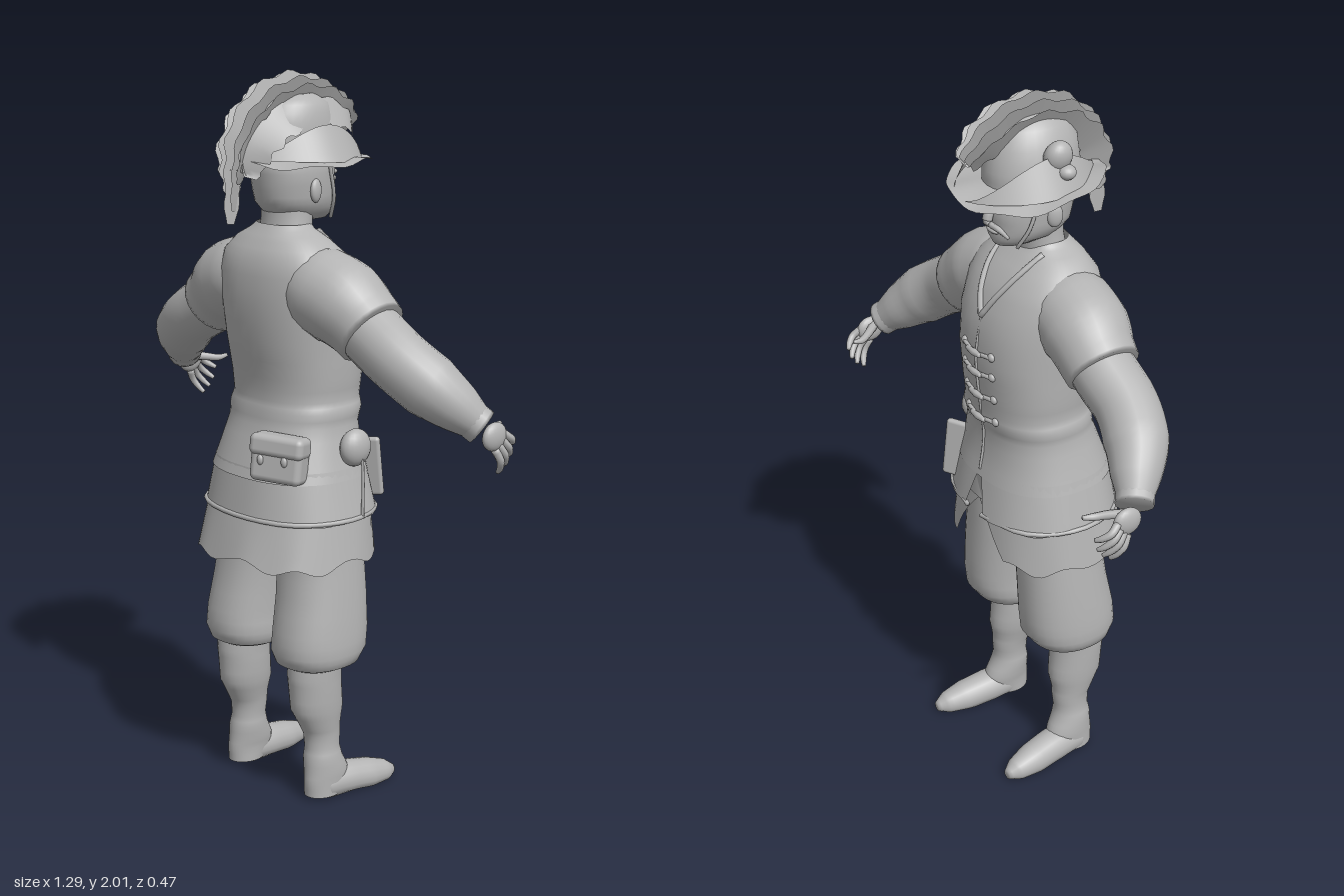
import * as THREE from 'three';
import { mergeVertices } from 'three/addons/utils/BufferGeometryUtils.js';
import { RoundedBoxGeometry } from 'three/addons/geometries/RoundedBoxGeometry.js';

const { lerp } = THREE.MathUtils;
const clayGrey = new THREE.MeshStandardMaterial({ color: 0xb4b4b4, side: THREE.DoubleSide });
clayGrey.name = 'clayGrey';

// Grid surface from a rule f(u, v) -> [x, y, z]
function surface(f, nu, nv) {
  const pos = [], idx = [];
  for (let j = 0; j <= nv; j++) for (let i = 0; i <= nu; i++) pos.push(...f(i / nu, j / nv));
  for (let j = 0; j < nv; j++) for (let i = 0; i < nu; i++) {
    const a = j * (nu + 1) + i, c = a + nu + 1;
    idx.push(a, a + 1, c + 1, a, c + 1, c);
  }
  let g = new THREE.BufferGeometry();
  g.setAttribute('position', new THREE.Float32BufferAttribute(pos, 3));
  g.setIndex(idx);
  g = mergeVertices(g, 1e-5);
  g.computeVertexNormals();
  return g;
}

// Interpolate a list of number rows at t in 0..1
function rowAt(rows, t) {
  const f = t * (rows.length - 1), i = Math.min(Math.floor(f), rows.length - 2);
  return rows[i].map((v, k) => lerp(v, rows[i + 1][k], f - i));
}
const bend = (v, p) => Math.sign(v) * Math.abs(v) ** p;

// Horizontal cross-sections, rows are [y, centreX, halfWidth, zFront, zBack]
function ringPoint([y, cx, rx, zf, zb], a, p = 1) {
  return [cx + rx * bend(Math.sin(a), p), y, (zf + zb) / 2 + (zb - zf) / 2 * bend(Math.cos(a), p)];
}
function loft(rows, p = 1, nu = 32) {
  return surface((u, v) => ringPoint(rowAt(rows, v), u * Math.PI * 2, p), nu, (rows.length - 1) * 2);
}

// Tapered tube, points are [x, y, z, radius]; never dips below the ground
function tube(pts, nu = 12, ref = [0, 0, 1]) {
  const curve = new THREE.CatmullRomCurve3(pts.map(p => new THREE.Vector3(...p)));
  const R = new THREE.Vector3(...ref), n = (pts.length - 1) * 4;
  return surface((u, v) => {
    const j = Math.round(v * (n + 2)), t = THREE.MathUtils.clamp((j - 1) / n, 0, 1);
    const c = curve.getPoint(t), T = curve.getTangent(t);
    const N = R.clone().cross(T).normalize(), B = T.clone().cross(N);
    const r = j === 0 || j === n + 2 ? 0 : rowAt(pts, t)[3], a = u * Math.PI * 2;
    c.addScaledVector(N, r * Math.cos(a)).addScaledVector(B, r * Math.sin(a));
    return [c.x, Math.max(c.y, 0), c.z];
  }, nu, n + 2);
}

const TORSO = [
  [0.93, 0, 0.225, -0.18, 0.19], [1.0, 0, 0.205, -0.165, 0.165], [1.07, 0, 0.188, -0.16, 0.14],
  [1.11, 0, 0.192, -0.17, 0.135], [1.14, 0, 0.18, -0.17, 0.128], [1.2, 0, 0.187, -0.175, 0.132],
  [1.3, 0, 0.192, -0.183, 0.152], [1.4, 0, 0.2, -0.172, 0.162], [1.48, 0, 0.205, -0.14, 0.158],
  [1.53, 0, 0.19, -0.105, 0.145], [1.57, 0, 0.145, -0.065, 0.12], [1.595, 0, 0.095, -0.04, 0.1],
  [1.61, 0, 0.078, -0.035, 0.088],
];
// Depth of the tunic front at (x, y)
function chestZ(x, y) {
  let i = 0;
  while (i < TORSO.length - 2 && TORSO[i + 1][0] < y) i++;
  const a = TORSO[i], b = TORSO[i + 1], k = (y - a[0]) / (b[0] - a[0]);
  const [rx, zf, zb] = [2, 3, 4].map(m => lerp(a[m], b[m], k));
  const s = Math.min(1, Math.abs(x) / rx) ** (1 / 0.85);
  return (zf + zb) / 2 - (zb - zf) / 2 * Math.sqrt(1 - s * s) ** 0.85;
}

// Cloth hanging round the hips with a slit at the front
function hangingCloth(top, hem, slit, ragged) {
  return surface((u, v) => {
    const a = (u * 2 - 1) * (Math.PI - slit * (1 - v));
    const p = ringPoint(rowAt([hem, top], v), a, 0.85);
    p[1] += (1 - v) * ragged * (Math.sin(a * 9) + 0.6 * Math.sin(a * 4 + 1));
    return p;
  }, 72, 5);
}

// Flat feather following a curve in the y-z plane, points are [x, y, z]
function feather(pts, width, tilt) {
  const curve = new THREE.CatmullRomCurve3(pts.map(p => new THREE.Vector3(...p)));
  return surface((u, v) => {
    const c = curve.getPoint(v), T = curve.getTangent(v);
    const w = (u - 0.5) * width * Math.sin(Math.PI * (0.08 + 0.88 * v)) ** 0.5 * (1 + 0.18 * Math.sin(v * 55));
    return [c.x + w * tilt, c.y - T.z * w, c.z + T.y * w];
  }, 4, 40);
}

export function createModel() {
  const model = new THREE.Group();
  model.name = 'hattedFigure';
  const add = (name, geo, pos = [0, 0, 0], rot = [0, 0, 0], scale = [1, 1, 1]) => {
    const m = new THREE.Mesh(geo, clayGrey);
    m.name = name;
    m.position.set(...pos); m.rotation.set(...rot); m.scale.set(...scale);
    model.add(m);
    return m;
  };
  const ball = new THREE.SphereGeometry(1, 20, 14);

  // Tunic, its flared skirt and the shirt tail below
  add('tunicBody', loft(TORSO, 0.85, 48));
  add('tunicSkirt', hangingCloth([0.96, 0, 0.217, -0.173, 0.18], [0.82, 0, 0.25, -0.2, 0.203], 0.13, 0.003));
  add('tunicHem', tube([-0.97, -0.75, -0.5, -0.25, 0, 0.25, 0.5, 0.75, 0.97].map(k =>
    [...ringPoint([0.825, 0, 0.25, -0.198, 0.203], k * Math.PI, 0.85), 0.007]), 8, [0, 1, 0]));
  add('shirtTail', hangingCloth([0.86, 0, 0.235, -0.18, 0.19], [0.7, 0, 0.258, -0.195, 0.235], 0.4, 0.011));
  add('hips', loft([[0.66, 0, 0.02, -0.03, 0.03], [0.7, 0, 0.2, -0.11, 0.12], [0.84, 0, 0.21, -0.13, 0.14],
    [0.94, 0, 0.2, -0.15, 0.15]], 0.85));

  // Front fastening: collar edges, seam and toggles
  for (const s of [-1, 1]) {
    const edge = [[0.082, 1.59], [0.065, 1.54], [0.035, 1.48], [0, 1.42]];
    add('collarEdge', tube(edge.map(([x, y]) => [s * x, y, chestZ(x, y) - 0.002, 0.008]), 8));
  }
  add('frontSeam', tube([1.42, 1.3, 1.15, 1.05, 0.95].map(y => [0, y, chestZ(0, y), 0.004]), 8));
  for (const y of [1.32, 1.26, 1.19, 1.12]) {
    const z = chestZ(0, y);
    add('toggleBar', tube([[-0.032, y, z - 0.009, 0.006], [0, y, z - 0.01, 0.01], [0.032, y, z - 0.009, 0.006]], 8));
    for (const s of [-1, 1]) {
      add('toggleCord', tube([[s * 0.02, y, z - 0.006, 0.006], [s * 0.06, y + 0.004, chestZ(0.06, y) - 0.003, 0.006]], 8));
      add('toggleKnot', ball, [s * 0.062, y + 0.004, chestZ(0.062, y)], [0, 0, 0], [0.012, 0.012, 0.009]);
    }
  }

  // Limbs, mirrored
  for (const s of [-1, 1]) {
    const mx = pts => pts.map(([x, ...rest]) => [s * x, ...rest]);
    add('shortSleeve', tube(mx([[0.07, 1.45, 0.02, 0.1], [0.15, 1.44, 0.02, 0.118], [0.225, 1.415, 0.012, 0.118],
      [0.28, 1.378, 0.003, 0.105], [0.318, 1.35, 0, 0.1]]), 24));
    add('longSleeve', tube(mx([[0.25, 1.39, 0, 0.085], [0.33, 1.34, 0, 0.087], [0.42, 1.29, -0.002, 0.085],
      [0.5, 1.235, -0.03, 0.085], [0.56, 1.18, -0.075, 0.066], [0.6, 1.14, -0.108, 0.045]]), 20));
    add('cuff', tube(mx([[0.588, 1.152, -0.098, 0.05], [0.607, 1.133, -0.114, 0.05]]), 16));
    add('palm', ball, [s * 0.621, 1.105, -0.147], [0.2, 0, 0], [0.019, 0.038, 0.042]);
    for (let i = 0; i < 4; i++) {
      const o = (i - 1.5) * 0.017, len = [0.9, 1, 1, 0.85][i], fan = 1 + 0.5 * len;
      const P = (x, k, r) => [x, 1.09 - k * 0.055 * len + o * 0.8 * (1 + fan * k * 0.4),
        -0.163 - k * 0.045 * len - o * 0.6 * (1 + fan * k * 0.4), r];
      add('finger', tube(mx([P(0.624, 0, 0.011), P(0.63, 0.5, 0.0105), P(0.618, 0.9, 0.009), P(0.603, 1.15, 0.006)]), 8, [1, 0, 0]));
    }
    add('thumb', tube(mx([[0.615, 1.12, -0.135, 0.014], [0.583, 1.115, -0.175, 0.012], [0.563, 1.11, -0.21, 0.01],
      [0.558, 1.115, -0.238, 0.006]]), 8, [0, 1, 0]));

    const c = s * 0.14;
    add('breeches', loft([[0.405, c, 0.05, -0.02, 0.08], [0.395, c, 0.085, -0.06, 0.125], [0.405, c, 0.106, -0.09, 0.145],
      [0.44, c, 0.116, -0.115, 0.16], [0.5, c, 0.114, -0.122, 0.155], [0.6, s * 0.133, 0.112, -0.122, 0.135],
      [0.7, s * 0.123, 0.112, -0.12, 0.122], [0.86, s * 0.115, 0.105, -0.12, 0.13]], 0.9));
    add('boot', loft([[0.01, s * 0.165, 0.045, -0.03, 0.085], [0.05, s * 0.165, 0.047, -0.06, 0.088],
      [0.08, s * 0.163, 0.05, -0.055, 0.085], [0.12, s * 0.16, 0.05, -0.035, 0.083], [0.15, s * 0.158, 0.045, -0.028, 0.077],
      [0.19, s * 0.156, 0.047, -0.032, 0.08], [0.22, s * 0.155, 0.052, -0.032, 0.095], [0.27, s * 0.152, 0.062, -0.042, 0.122],
      [0.33, s * 0.151, 0.066, -0.036, 0.126], [0.37, s * 0.151, 0.067, -0.034, 0.13], [0.43, s * 0.15, 0.07, -0.035, 0.125]]));
    add('foot', tube(mx([[0.165, 0.03, 0.06, 0.03], [0.166, 0.035, 0.03, 0.047], [0.171, 0.032, -0.05, 0.05],
      [0.18, 0.022, -0.13, 0.047], [0.187, 0.016, -0.19, 0.034], [0.19, 0.014, -0.222, 0.014]]), 18, [1, 0, 0]));
  }

  // Belt gear
  add('backPouch', new RoundedBoxGeometry(0.15, 0.12, 0.07, 3, 0.018), [0.125, 0.995, 0.152], [-0.12, 0.4, 0]);
  add('backPouchFlap', new RoundedBoxGeometry(0.158, 0.06, 0.076, 3, 0.018), [0.126, 1.035, 0.151], [-0.12, 0.4, 0]);
  for (const x of [0.1, 0.165]) add('pouchStud', ball, [x, 1.0, 0.242 - x * 0.42], [0, 0, 0], [0.01, 0.014, 0.008]);
  add('roundPouch', ball, [0.218, 1.015, -0.038], [0, 0, 0], [0.033, 0.052, 0.05]);
  add('pouchString', tube([[0.235, 1.05, -0.04, 0.005], [0.245, 0.95, -0.042, 0.004], [0.247, 0.82, -0.04, 0.005]], 6));
  add('flatPouch', new RoundedBoxGeometry(0.075, 0.17, 0.022, 3, 0.01), [0.155, 0.93, -0.15], [0.12, 0.55, 0]);

  // Head and face
  add('neck', loft([[1.55, 0, 0.085, -0.04, 0.09], [1.62, 0, 0.075, -0.05, 0.08], [1.68, 0, 0.075, -0.06, 0.08]]));
  add('head', loft([[1.608, 0, 0.01, -0.09, -0.07], [1.615, 0, 0.045, -0.118, 0.02], [1.635, 0, 0.075, -0.127, 0.075],
    [1.665, 0, 0.092, -0.126, 0.1], [1.7, 0, 0.097, -0.128, 0.108], [1.73, 0, 0.1, -0.122, 0.112],
    [1.76, 0, 0.1, -0.128, 0.115], [1.82, 0, 0.09, -0.115, 0.105]], 0.92));
  add('nose', tube([[0, 1.735, -0.118, 0.01], [0, 1.705, -0.137, 0.014], [0, 1.688, -0.142, 0.014]], 10));
  add('mouth', ball, [0, 1.655, -0.125], [0, 0, 0], [0.026, 0.007, 0.01]);
  for (const s of [-1, 1]) {
    add('eye', ball, [s * 0.038, 1.72, -0.112], [0, 0, 0], [0.015, 0.009, 0.012]);
    add('brow', tube([[s * 0.015, 1.738, -0.124, 0.007], [s * 0.06, 1.74, -0.107, 0.006]], 8));
    add('moustache', tube([[0, 1.673, -0.133, 0.008], [s * 0.03, 1.667, -0.126, 0.008], [s * 0.05, 1.645, -0.11, 0.004]], 8));
    add('ear', ball, [s * 0.099, 1.7, 0.0], [0, s * 0.3, 0], [0.012, 0.032, 0.022]);
    add('chinStrap', tube([[s * 0.1, 1.76, -0.05, 0.005], [s * 0.092, 1.68, -0.072, 0.005], [s * 0.06, 1.618, -0.09, 0.005]], 8));
  }

  // Hat: crown, wavy brim and upturned side flaps
  add('hatCrown', loft([[1.77, 0, 0.11, -0.14, 0.125], [1.82, 0, 0.108, -0.14, 0.13], [1.88, 0.005, 0.098, -0.125, 0.125],
    [1.925, 0.01, 0.08, -0.1, 0.1], [1.95, 0.01, 0.05, -0.06, 0.06], [1.957, 0.01, 0, 0, 0]]));
  add('hatBrim', surface((u, v) => {
    const a = u * Math.PI * 2, wave = 0.006 * Math.sin(a * 7);
    const p = ringPoint(rowAt([[1.775, 0, 0.195, -0.23, 0.19], [1.785, 0, 0.1, -0.13, 0.12]], v), a);
    p[1] += (1 - v) * (0.012 * Math.cos(a) + wave - 0.012 * Math.sin(a * 2));
    return p;
  }, 56, 4));
  for (const s of [-1, 1]) add('hatFlap', surface((u, v) => {
    const z = lerp(-0.225, 0.17, u), k = Math.sin(Math.PI * u);
    return [s * (0.02 + 0.145 * k ** 0.7 - 0.045 * v * k), 1.768 + 0.02 * u + v * 0.095 * k ** 1.2, z];
  }, 24, 4));
  add('rosette', ball, [-0.11, 1.865, 0.0], [0, 0, 0.3], [0.032, 0.045, 0.04]);
  add('rosetteKnot', ball, [-0.135, 1.83, 0.01], [0, 0, 0], [0.025, 0.02, 0.025]);

  // Plumes arching from the brow over the crown and down the back
  const plumes = [
    [0, 0, 0.07, 0.25], [0.022, -0.012, 0.07, -0.35], [-0.025, -0.015, 0.075, 0.4],
    [0.045, -0.035, 0.08, -0.5], [-0.04, -0.04, 0.08, 0.55], [0.075, -0.06, 0.075, 0.6],
  ];
  plumes.forEach(([x, d, w, tilt], i) => {
    const drop = 1.62 + 0.035 * i;
    add('plume', feather([[x * 0.5, 1.87 + d * 0.5, -0.215 - d * 0.4], [x, 1.935 + d, -0.14], [x, 1.97 + d, -0.03],
      [x, 1.945 + d, 0.09], [x * 0.8, 1.855 + d * 0.6, 0.18 + d * 0.3], [x * 0.5, 1.75, 0.2 + d * 0.2],
      [x * 0.3, drop, 0.212 - 0.006 * i]], w, tilt));
  });
  return model;
}
